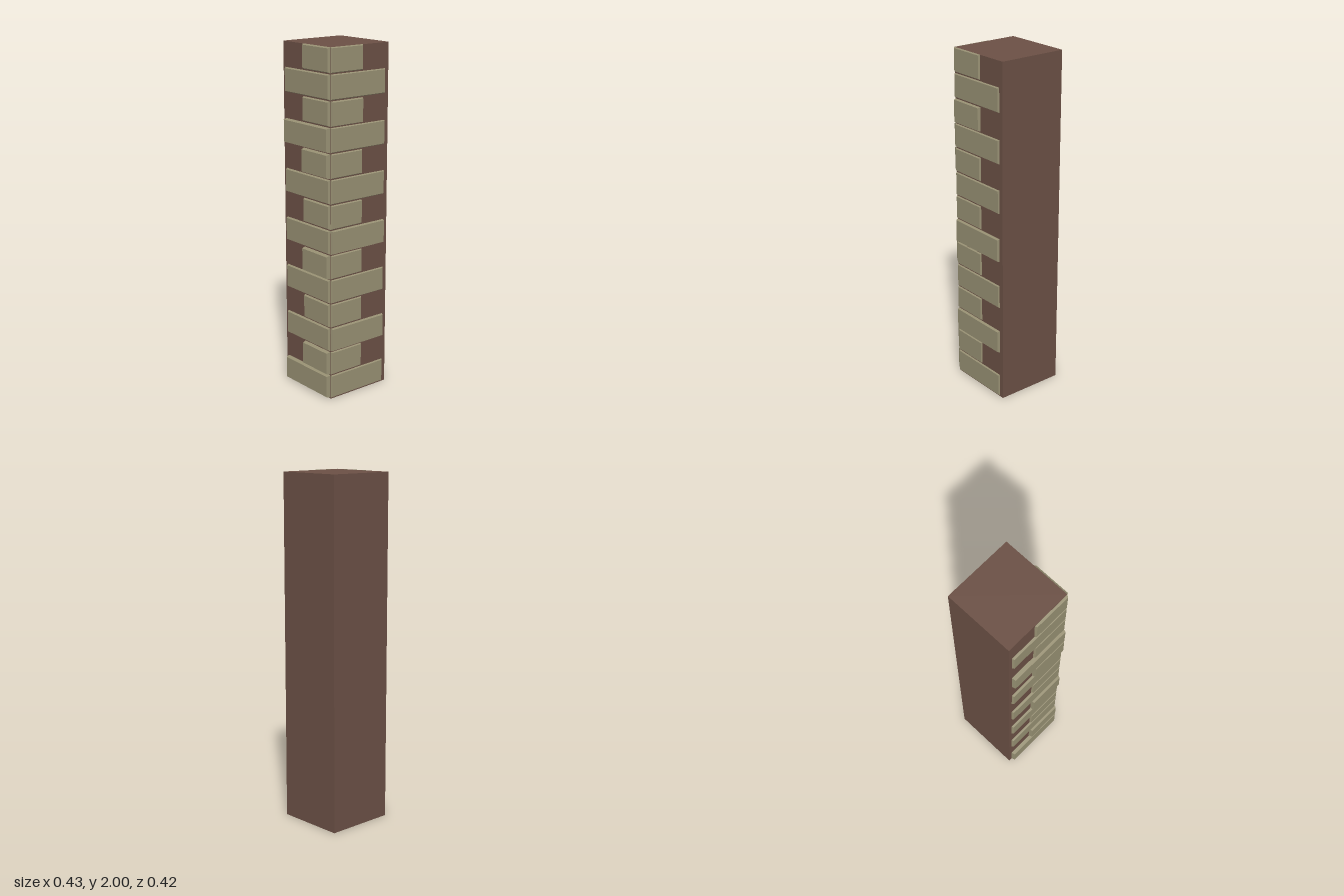
import * as THREE from 'three';

const brown = new THREE.MeshStandardMaterial({ color: 0x6b5045, side: THREE.DoubleSide });
brown.name = 'brown wall';
const stone = new THREE.MeshStandardMaterial({ color: 0x968f72 });
stone.name = 'olive stone';

const X0 = -0.194, X1 = 0.216, Z0 = -0.212, Z1 = 0.196; // post walls
const ROWS = 14, PITCH = 2 / ROWS;

// Plate lying against z = 0, its outer face inset on all four sides
function bevelledPlate(w, h, depth, inset) {
  const g = new THREE.BoxGeometry(w, h, depth).toNonIndexed();
  g.translate(0, 0, depth / 2);
  const p = g.attributes.position;
  for (let i = 0; i < p.count; i++) {
    if (p.getZ(i) < depth / 2) continue;
    p.setX(i, p.getX(i) * (1 - 2 * inset / w));
    p.setY(i, p.getY(i) * (1 - 2 * inset / h));
  }
  g.computeVertexNormals();
  return g;
}

export function createModel() {
  const model = new THREE.Group();
  model.name = 'cornerPost';

  // Hollow post, closed on top and open underneath
  const walls = new THREE.BoxGeometry(X1 - X0, 2, Z1 - Z0);
  const index = Array.from(walls.index.array);
  index.splice(18, 6); // drop the bottom face
  walls.setIndex(index);
  walls.clearGroups();
  const post = new THREE.Mesh(walls, brown);
  post.name = 'post';
  post.position.set((X0 + X1) / 2, 1, (Z0 + Z1) / 2);
  model.add(post);

  // Corner stones, alternately long and short on both faces
  const stones = new THREE.Group();
  stones.name = 'cornerStones';
  const proudFront = [2, 6, 11], proudSide = [0, 1, 5, 9, 10];
  for (let i = 0; i < ROWS; i++) {
    const long = i % 2 === 0;
    const y = (i + 0.5) * PITCH + 0.004;
    const h = 0.137;

    const fw = long ? 0.384 : 0.222;
    const front = new THREE.Mesh(
      bevelledPlate(fw, h, proudFront.includes(i) ? 0.014 : 0.008, 0.005), stone);
    front.name = 'frontStone';
    front.position.set(X0 + fw / 2, y, Z1 + 0.001);

    const sw = long ? 0.386 : 0.228;
    const side = new THREE.Mesh(
      bevelledPlate(sw, h, proudSide.includes(i) ? 0.023 : 0.012, 0.006), stone);
    side.name = 'sideStone';
    side.rotation.y = -Math.PI / 2;
    side.position.set(X0 - 0.001, y, Z1 - 0.002 - sw / 2);
    stones.add(front, side);
  }
  model.add(stones);
  return model;
}
